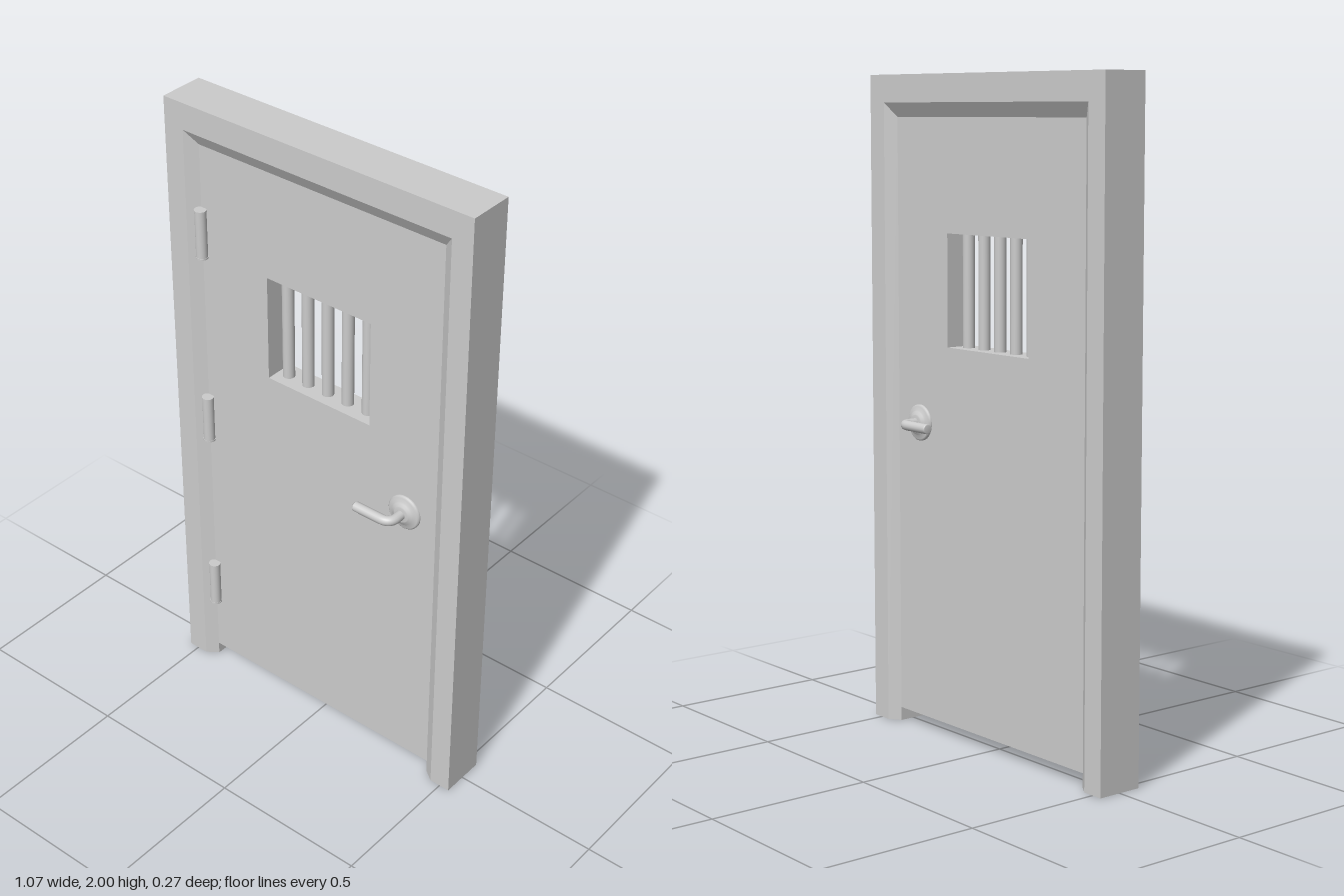
import * as THREE from 'three';

const mat = new THREE.MeshStandardMaterial({ color: 0xcccccc });

function add(parent, name, geometry, x = 0, y = 0, z = 0) {
  const mesh = new THREE.Mesh(geometry, mat);
  mesh.name = name;
  mesh.position.set(x, y, z);
  parent.add(mesh);
  return mesh;
}

// Frame: a bevelled section swept up, over and down with mitred corners
function frameGeometry() {
  const section = [[0, 0.072], [0.068, 0.072], [0.103, 0.047], [0.103, -0.047], [0.068, -0.072], [0, -0.072]];
  const stations = [[-1, 0], [-1, 1], [1, 1], [1, 0]]; // side, at the top or not
  const n = section.length, pos = [], index = [];
  for (const [side, top] of stations)
    for (const [u, z] of section) pos.push(side * (0.533 - u), top * (2 - u * 1.22), z);
  for (let s = 0; s < 3; s++)
    for (let k = 0; k < n; k++) {
      const a = s * n + k, b = s * n + (k + 1) % n;
      index.push(a, b, b + n, a, b + n, a + n);
    }
  const e = 3 * n;
  for (let k = 1; k < n - 1; k++) index.push(0, k + 1, k, e, e + k, e + k + 1);
  const g = new THREE.BufferGeometry();
  g.setAttribute('position', new THREE.Float32BufferAttribute(pos, 3));
  g.setIndex(index);
  const flat = g.toNonIndexed();
  flat.computeVertexNormals();
  return flat;
}

const rect = (path, x0, y0, x1, y1) =>
  path.moveTo(x0, y0).lineTo(x1, y0).lineTo(x1, y1).lineTo(x0, y1).closePath();

// Door leaf with the window cut through it
function doorGeometry() {
  const shape = rect(new THREE.Shape(), -0.43, 0.042, 0.43, 1.878);
  shape.holes.push(rect(new THREE.Path(), -0.187, 1.197, 0.187, 1.535));
  return new THREE.ExtrudeGeometry(shape, { depth: 0.094, bevelEnabled: false }).translate(0, 0, -0.047);
}

// Lever handle with a stepped rose, pointing along +z from the door face
function makeHandle(name) {
  const handle = new THREE.Group();
  handle.name = name;
  const profile = [[0.055, 0], [0.055, 0.006], [0.05, 0.01], [0.038, 0.011], [0.036, 0.016], [0.026, 0.018], [0.024, 0.022], [0, 0.022]];
  const rose = new THREE.LatheGeometry(profile.map(p => new THREE.Vector2(...p)), 32).rotateX(Math.PI / 2);
  add(handle, 'rose', rose);

  const V = (x, z) => new THREE.Vector3(x, 0, z);
  const path = new THREE.CurvePath();
  path.add(new THREE.LineCurve3(V(0, 0), V(0, 0.04)));
  path.add(new THREE.QuadraticBezierCurve3(V(0, 0.04), V(0, 0.071), V(-0.033, 0.071)));
  path.add(new THREE.LineCurve3(V(-0.033, 0.071), V(-0.124, 0.071)));
  add(handle, 'lever', new THREE.TubeGeometry(path, 40, 0.015, 16));

  // slightly rounded tip
  const tip = [[0.015, 0], [0.0145, 0.002], [0.012, 0.004], [0, 0.004]];
  add(handle, 'leverTip', new THREE.LatheGeometry(tip.map(p => new THREE.Vector2(...p)), 16).rotateZ(Math.PI / 2), -0.124, 0, 0.071);
  return handle;
}

export function createModel() {
  const model = new THREE.Group();
  model.name = 'cellDoor';
  add(model, 'frame', frameGeometry());
  add(model, 'door', doorGeometry());

  // Window bars
  for (let i = 0; i < 5; i++)
    add(model, 'windowBar', new THREE.CylinderGeometry(0.018, 0.018, 0.35, 20), -0.003 + (i - 2) * 0.0735, 1.366, 0);

  // Hinge barrels with a thin cap at both ends
  for (const y of [0.315, 0.957, 1.598]) {
    const hinge = new THREE.Group();
    hinge.name = 'hinge';
    hinge.position.set(-0.421, y, 0.061);
    add(hinge, 'barrel', new THREE.CylinderGeometry(0.0175, 0.0175, 0.15, 20));
    for (const s of [-1, 1])
      add(hinge, 'cap', new THREE.CylinderGeometry(0.0185, 0.0185, 0.005, 20), 0, s * 0.076, 0);
    model.add(hinge);
  }

  // Handles on both faces, levers towards the middle of the door
  const front = makeHandle('frontHandle');
  front.position.set(0.321, 0.957, 0.047);
  const back = makeHandle('backHandle');
  back.position.set(0.321, 0.957, -0.047);
  // mirror the vertices in z and restore the winding
  back.children.forEach(m => {
    m.geometry.scale(1, 1, -1);
    m.position.z *= -1;
    const ix = m.geometry.index;
    for (let i = 0; i < ix.count; i += 3) {
      const a = ix.getX(i);
      ix.setX(i, ix.getX(i + 1));
      ix.setX(i + 1, a);
    }
  });
  model.add(front, back);
  return model;
}
